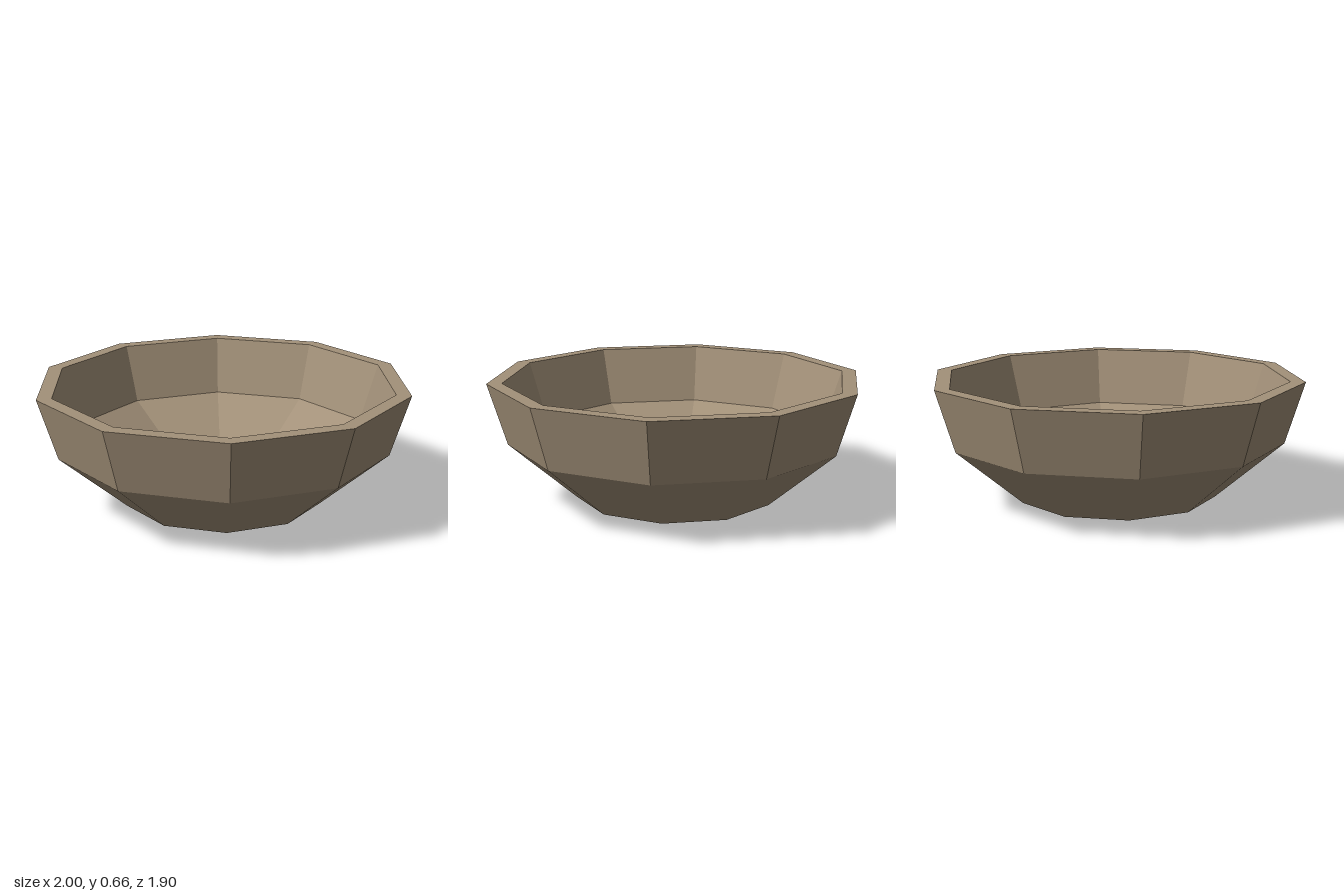
import * as THREE from 'three';

const SIDES = 10;

export function createModel() {
  const clay = new THREE.MeshStandardMaterial({ color: 0xa39179, flatShading: true });
  clay.name = 'clay';

  const bowl = new THREE.Group();
  bowl.name = 'bowl';

  // Ten-sided band turned from [radius, height] points, with corners on the x axis
  const addRing = (name, profile) => {
    const points = profile.map(([r, y]) => new THREE.Vector2(r, y));
    const mesh = new THREE.Mesh(new THREE.LatheGeometry(points, SIDES, Math.PI / 2), clay);
    mesh.name = name;
    bowl.add(mesh);
  };

  // Shallow pointed underside
  addRing('base', [[0, 0], [0.54, 0.02]]);
  // Outside wall: wide flare, then a steeper upper band
  addRing('outerWall', [[0.54, 0.02], [0.9, 0.33], [1, 0.66]]);
  // Flat lip
  addRing('rim', [[1, 0.66], [0.92, 0.66]]);
  // Inside wall, running downwards so it faces the hollow
  addRing('innerWall', [[0.92, 0.66], [0.82, 0.35], [0.395, 0.09]]);
  // Slightly dished floor
  addRing('floor', [[0.395, 0.09], [0, 0.075]]);

  return bowl;
}
